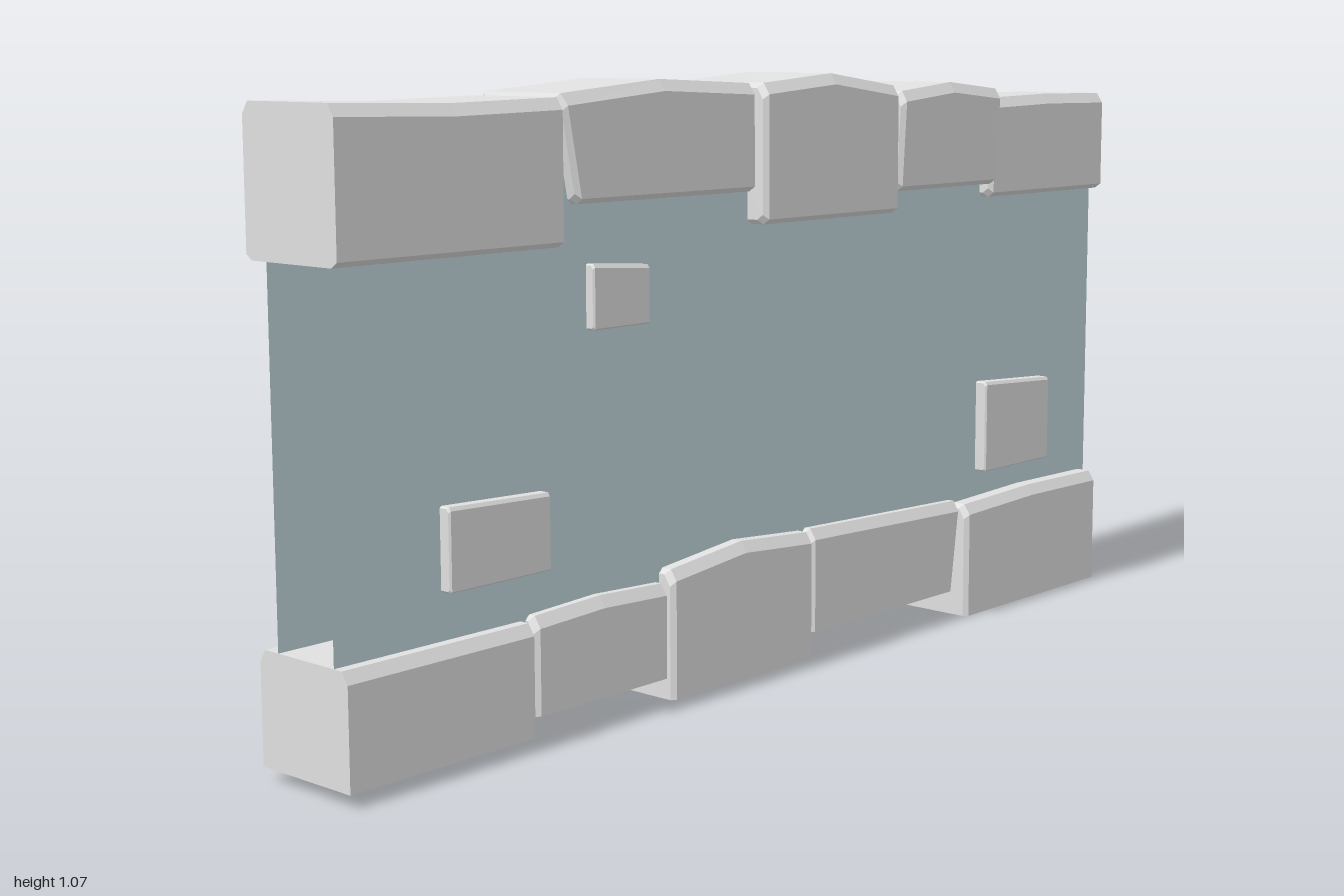
import * as THREE from 'three';

const stoneMat = new THREE.MeshStandardMaterial({ color: 0xe0e0e0, side: THREE.DoubleSide });
stoneMat.name = 'stone grey';
const panelMat = new THREE.MeshStandardMaterial({ color: 0xc3dade, side: THREE.DoubleSide });
panelMat.name = 'wall blue grey';

// Chamfered stone lofted along x. top: heights spread evenly from left to right end.
// slant: x shift of the bottom edge at each end. ends: chamfer of each end. open: no underside.
function stoneGeometry({ x, y, top, z, slant = [0, 0], c = 0.013, ends = [0.008, 0.008], open = false, lean = 0 }) {
  const [x0, x1] = x, [z0, z1] = z, n = top.length - 1;
  const topAt = (t) => {
    const i = Math.min(n - 1, Math.floor(t * n));
    return THREE.MathUtils.lerp(top[i], top[i + 1], t * n - i);
  };
  const section = (t, inset) => {
    const yt = topAt(t) - inset, yb = y + (open ? 0 : inset);
    const za = z0 + inset, zb = z1 - inset;
    const b = open ? 0 : c * 0.7;
    const pts = [[yb + b, zb], [yt - c * 1.5, zb], [yt, zb - c], [yt, za + c], [yt - c * 1.5, za], [yb + b, za]];
    if (!open) pts.push([yb, za + c], [yb, zb - c]);
    return pts.map(([py, pz]) => {
      const low = 1 - (py - y) / (topAt(t) - y);
      const shift = THREE.MathUtils.lerp(slant[0], slant[1], t) * low;
      return [x0 + (x1 - x0) * t + shift, py, pz - lean * low];
    });
  };
  const [e0, e1] = ends.map((e) => e / (x1 - x0));
  const rings = [section(0, ends[0])];
  if (e0 > 0) rings.push(section(e0, 0));
  for (let i = 1; i < n; i++) rings.push(section(i / n, 0));
  if (e1 > 0) rings.push(section(1 - e1, 0));
  rings.push(section(1, ends[1]));

  const pos = [];
  const tri = (p, q, r) => pos.push(...p, ...q, ...r);
  const m = rings[0].length;
  for (let i = 0; i < rings.length - 1; i++) {
    for (let j = 0; j < (open ? m - 1 : m); j++) {
      const k = (j + 1) % m, A = rings[i], B = rings[i + 1];
      tri(A[j], B[j], B[k]);
      tri(A[j], B[k], A[k]);
    }
  }
  const first = rings[0], last = rings[rings.length - 1];
  for (let j = 1; j < m - 1; j++) {
    tri(first[0], first[j], first[j + 1]);
    tri(last[0], last[j + 1], last[j]);
  }
  const g = new THREE.BufferGeometry();
  g.setAttribute('position', new THREE.Float32BufferAttribute(pos, 3));
  g.computeVertexNormals();
  return g;
}

function addRow(group, name, stones, shared) {
  const row = new THREE.Group();
  row.name = name;
  stones.forEach((s, i) => {
    const mesh = new THREE.Mesh(stoneGeometry({ ...shared, ...s }), stoneMat);
    mesh.name = `${name}Stone${i + 1}`;
    row.add(mesh);
  });
  group.add(row);
}

export function createModel() {
  const group = new THREE.Group();
  group.name = 'stoneWall';

  // Two thin wall faces
  for (const [name, z] of [['frontPanel', 0.072], ['backPanel', -0.06]]) {
    const panel = new THREE.Mesh(new THREE.PlaneGeometry(2, 0.86), panelMat);
    panel.name = name;
    panel.position.set(0, 0.51, z);
    if (z < 0) panel.rotation.y = Math.PI;
    group.add(panel);
  }

  // Coping stones along the top, cut square at the wall ends
  addRow(group, 'coping', [
    { x: [-1, -0.542], y: 0.80, top: [1.035, 1.03, 1.035], z: [-0.108, 0.103], ends: [0, 0.008] },
    { x: [-0.545, -0.081], y: 0.865, top: [1.04, 1.06, 1.05], z: [-0.103, 0.098], slant: [0.035, 0] },
    { x: [-0.078, 0.3], y: 0.808, top: [1.05, 1.065, 1.04], z: [-0.108, 0.115] },
    { x: [0.298, 0.609], y: 0.847, top: [1.03, 1.045, 1.03], z: [-0.1, 0.125], lean: 0.01 },
    { x: [0.61, 1], y: 0.82, top: [1.012, 1.017, 1.015], z: [-0.108, 0.1], ends: [0.008, 0] },
  ], {});

  // Foundation stones, open underneath
  addRow(group, 'base', [
    { x: [-1, -0.618], y: 0.022, top: [0.208, 0.208], z: [-0.105, 0.103], ends: [0, 0.008] },
    { x: [-0.615, -0.306], y: 0.052, top: [0.215, 0.222, 0.215], z: [-0.124, 0.098] },
    { x: [-0.305, 0.068], y: 0.012, top: [0.237, 0.257, 0.243], z: [-0.117, 0.105] },
    { x: [0.072, 0.528], y: 0.055, top: [0.246, 0.238, 0.23], z: [-0.105, 0.098], slant: [0, -0.025] },
    { x: [0.529, 0.98], y: 0, top: [0.222, 0.23, 0.227], z: [-0.108, 0.112], ends: [0.008, 0] },
  ], { open: true });

  // Small stones showing through the wall faces
  addRow(group, 'inset', [
    { x: [-0.472, -0.34], y: 0.66, top: [0.768, 0.758], z: [0.056, 0.09] },
    { x: [-0.79, -0.576], y: 0.285, top: [0.42, 0.412], z: [0.045, 0.094] },
    { x: [0.608, 0.828], y: 0.276, top: [0.456, 0.443], z: [0.042, 0.097] },
    { x: [0.28, 0.53], y: 0.316, top: [0.41, 0.422], z: [-0.074, -0.034] },
    { x: [0.135, 0.255], y: 0.415, top: [0.5, 0.51], z: [-0.074, -0.034] },
  ], { c: 0.004, ends: [0.003, 0.003] });

  return group;
}
